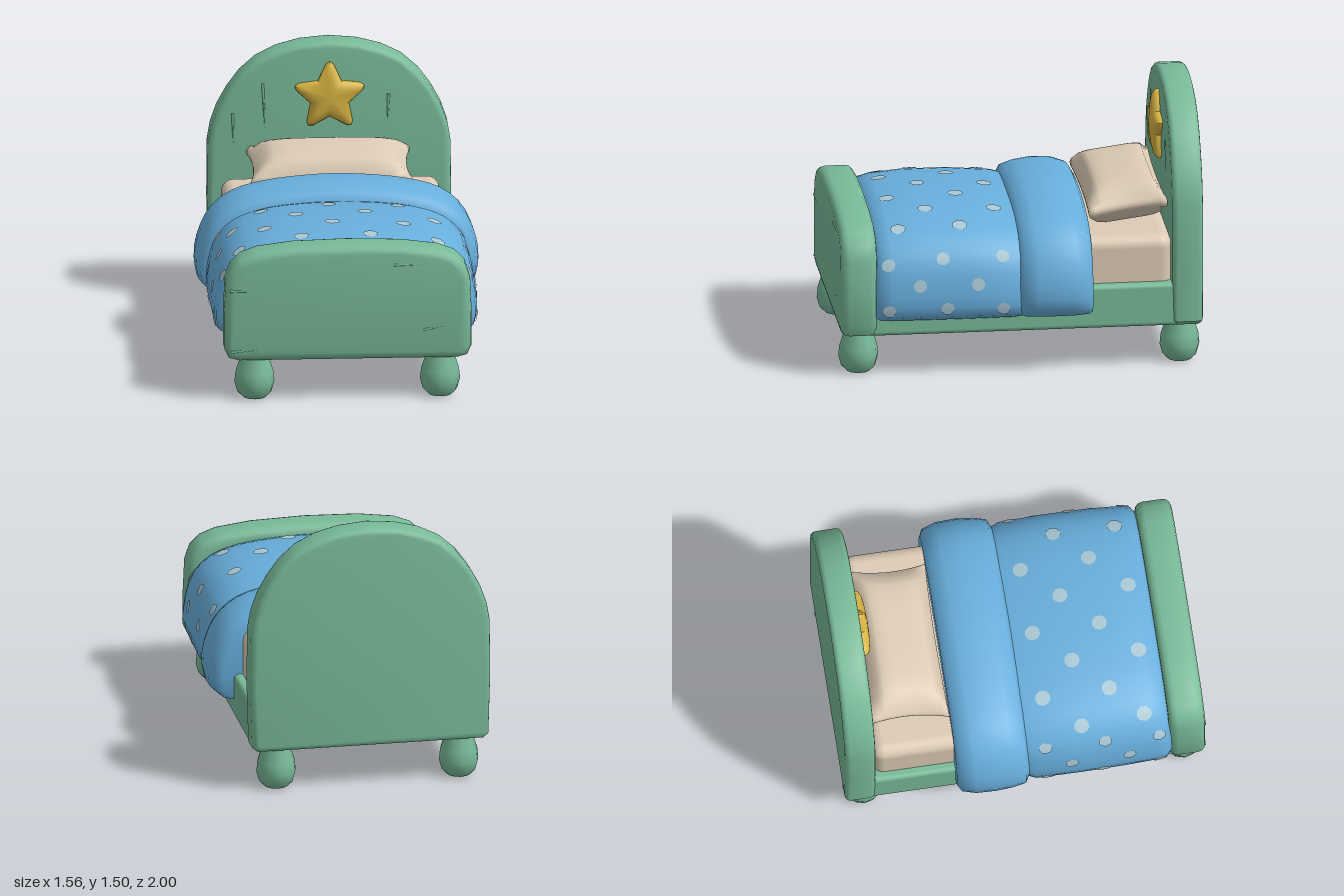
import * as THREE from 'three';
import { mergeVertices, toCreasedNormals } from 'three/addons/utils/BufferGeometryUtils.js';
import { RoundedBoxGeometry } from 'three/addons/geometries/RoundedBoxGeometry.js';

const material = (name, color, side = THREE.FrontSide) => {
  const m = new THREE.MeshStandardMaterial({ color, side });
  m.name = name;
  return m;
};

// Full symmetric outline from its right half, running from the bottom to the top centre
const mirrored = (half) => [...half, ...half.slice(0, -1).reverse().map(([x, y]) => [-x, y])];

// Skin between rings of [x, y, z] points (counterclockwise from +z), with capped ends
function loft(rings, cy, crease = 0.9) {
  const n = rings[0].length, pos = rings.flat(2), index = [];
  for (let i = 0; i < rings.length - 1; i++) {
    for (let j = 0; j < n; j++) {
      const a = i * n + j, b = i * n + (j + 1) % n;
      index.push(a, b, b + n, a, b + n, a + n);
    }
  }
  const last = (rings.length - 1) * n, c0 = rings.length * n;
  pos.push(0, cy, rings[0][0][2], 0, cy, rings[rings.length - 1][0][2]);
  for (let j = 0; j < n; j++) {
    const k = (j + 1) % n;
    index.push(c0, k, j, c0 + 1, last + j, last + k);
  }
  const g = new THREE.BufferGeometry();
  g.setAttribute('position', new THREE.Float32BufferAttribute(pos, 3));
  g.setIndex(index);
  return toCreasedNormals(g, crease);
}

// Board with a soft rim, from an outline half, between two z positions
function board(half, z0, z1, bevel) {
  const shape = new THREE.Shape(mirrored(half).map(([x, y]) => new THREE.Vector2(x, y)));
  const g = new THREE.ExtrudeGeometry(shape, {
    depth: z1 - z0 - 2 * bevel, bevelThickness: bevel, bevelSize: bevel, bevelOffset: -bevel, bevelSegments: 3,
  });
  g.translate(0, 0, z0 + bevel);
  return toCreasedNormals(g, 0.7);
}

// Draped cloth: an arched profile scaled along z by stations of [z, width, height]
function drape(half, stations) {
  const curve = new THREE.CatmullRomCurve3(mirrored(half).map(([x, y]) => new THREE.Vector3(x, y, 0)));
  const base = 0.33;
  const at = (u, z) => {
    let i = 0;
    while (i < stations.length - 2 && z > stations[i + 1][0]) i++;
    const [a, b] = [stations[i], stations[i + 1]];
    const t = THREE.MathUtils.clamp((z - a[0]) / (b[0] - a[0]), 0, 1);
    const p = curve.getPointAt(THREE.MathUtils.clamp(u, 0, 1));
    p.x *= a[1] + (b[1] - a[1]) * t;
    p.y = base + (p.y - base) * (a[2] + (b[2] - a[2]) * t);
    p.z = z;
    return p;
  };
  const rings = stations.map(([z]) => Array.from({ length: 41 }, (_, j) => at(j / 40, z).toArray()));
  return { at, length: curve.getLength(), geometry: loft(rings, 0.5) };
}

// Round patch that follows a drape, centred at (u, z)
function patch(cloth, u, z, r) {
  const n = 9, pos = [], index = [];
  const put = (du, dz) => {
    const uu = u + du / cloth.length, zz = z + dz, e = 0.004;
    const p = cloth.at(uu, zz);
    const along = cloth.at(uu + e, zz).sub(cloth.at(uu - e, zz));
    const normal = along.cross(cloth.at(uu, zz + e).sub(cloth.at(uu, zz - e))).normalize();
    pos.push(...p.addScaledVector(normal, 0.006).toArray());
  };
  put(0, 0);
  for (const s of [0.5, 1]) {
    for (let j = 0; j < n; j++) {
      const a = (j / n) * Math.PI * 2;
      put(Math.cos(a) * r * s, Math.sin(a) * r * s);
    }
  }
  for (let j = 0; j < n; j++) {
    const a = 1 + j, b = 1 + (j + 1) % n;
    index.push(0, a, b, a, a + n, b + n, a, b + n, b);
  }
  const g = new THREE.BufferGeometry();
  g.setAttribute('position', new THREE.Float32BufferAttribute(pos, 3));
  g.setIndex(index);
  g.computeVertexNormals();
  return g;
}

// Parameter in [lo, hi] where a falling function reaches zero
function solve(f, lo, hi) {
  for (let i = 0; i < 24; i++) {
    const m = (lo + hi) / 2;
    if (f(m) > 0) lo = m; else hi = m;
  }
  return (lo + hi) / 2;
}

export function createModel() {
  const green = material('green wood', 0x78ba98);
  const blue = material('blue blanket', 0x68afdd);
  const pale = material('pale dots', 0xa9c8d4, THREE.DoubleSide);
  const cream = material('cream linen', 0xdccbb5);
  const gold = material('gold star', 0xd8b442);
  const model = new THREE.Group();
  model.name = 'bed';
  const add = (name, geometry, mat, x = 0, y = 0, z = 0, parent = model) => {
    const mesh = new THREE.Mesh(geometry, mat);
    mesh.name = name;
    mesh.position.set(x, y, z);
    parent.add(mesh);
    return mesh;
  };

  // Head and foot boards
  add('headboard', board([[0.63, 0.235], [0.66, 0.26], [0.67, 0.6], [0.667, 0.92], [0.65, 1.02], [0.615, 1.12],
    [0.56, 1.22], [0.49, 1.315], [0.4, 1.395], [0.29, 1.45], [0.16, 1.485], [0, 1.5]], -1, -0.83, 0.03), green);
  add('footboard', board([[0.6, 0.23], [0.655, 0.245], [0.68, 0.3], [0.68, 0.5], [0.672, 0.68], [0.645, 0.76],
    [0.59, 0.815], [0.5, 0.85], [0.3, 0.876], [0, 0.885]], 0.8, 1, 0.045), green);

  // Slim raised grain marks: [x, y, z, length, tilt]
  const marks = [[-0.5, 0.635, 0.995, 0.3, 1.55], [-0.5, 0.3, 0.995, 0.28, 1.65], [0.39, 0.775, 0.995, 0.28, 1.58],
    [0.52, 0.42, 0.995, 0.22, 1.75], [-0.36, 1.12, -0.833, 0.3, 0.05], [0.32, 1.1, -0.833, 0.2, -0.05],
    [-0.53, 1.0, -0.833, 0.2, 0.03]];
  for (const [x, y, z, len, tilt] of marks) {
    add('grainMark', new THREE.CylinderGeometry(0.009, 0.003, len, 6), green, x, y, z).rotation.z = tilt;
  }

  // Base frame and legs
  add('frame', new RoundedBoxGeometry(1.3, 0.245, 1.72, 3, 0.025), green, 0, 0.3575, -0.01);
  const leg = new THREE.LatheGeometry([[0, 0], [0.065, 0.004], [0.095, 0.035], [0.11, 0.09], [0.104, 0.15],
    [0.085, 0.21], [0.08, 0.26]].map(([x, y]) => new THREE.Vector2(x, y)), 12);
  for (const x of [-0.51, 0.51]) for (const z of [-0.885, 0.89]) add('leg', leg, green, x, 0, z);

  // Mattress
  add('mattress', new RoundedBoxGeometry(1.2, 0.34, 1.64, 4, 0.07), cream, 0, 0.57, -0.02);

  // Pillow: a box swollen in the middle and pinched between its corners
  let pillow = new THREE.BoxGeometry(2, 2, 2, 18, 6, 12);
  const p = pillow.attributes.position;
  for (let i = 0; i < p.count; i++) {
    const u = p.getX(i), w = p.getY(i), v = p.getZ(i);
    const h = 0.035 + 0.088 * Math.pow((1 - u ** 4) * (1 - v ** 4), 0.45);
    const round = 1 - 0.05 * w * w;
    p.setXYZ(i, 0.45 * u * round * (1 - 0.06 * (1 - v * v)), w * h, 0.22 * v * round * (1 - 0.05 * (1 - u * u)));
  }
  pillow.deleteAttribute('normal');
  pillow.deleteAttribute('uv');
  pillow = mergeVertices(pillow);
  pillow.computeVertexNormals();
  add('pillow', pillow, cream, -0.01, 0.855, -0.61).rotation.x = 0.13;

  // Blanket and its turned-back fold
  const blanket = drape([[0.62, 0.35], [0.7, 0.33], [0.732, 0.41], [0.725, 0.53], [0.68, 0.68], [0.58, 0.785],
    [0.42, 0.845], [0.2, 0.873], [0, 0.88]],
  [[-0.02, 0.95, 0.92], [0.05, 0.995, 0.95], [0.3, 1, 0.99], [0.55, 0.995, 0.99], [0.72, 0.985, 0.96],
    [0.78, 0.97, 0.93], [0.81, 0.92, 0.86]]);
  add('blanket', blanket.geometry, blue);
  const fold = drape([[0.6, 0.36], [0.69, 0.33], [0.76, 0.37], [0.782, 0.47], [0.76, 0.6], [0.69, 0.74],
    [0.57, 0.835], [0.38, 0.888], [0.18, 0.912], [0, 0.92]],
  [[-0.387, 0.91, 0.88], [-0.365, 0.965, 0.945], [-0.29, 0.995, 0.99], [-0.18, 1, 1], [-0.08, 0.99, 0.975],
    [-0.01, 0.97, 0.935], [0.015, 0.91, 0.87]]);
  add('blanketFold', fold.geometry, blue);

  // Blanket dots: on top placed by [x, z], on both sides by [z, y]
  const dots = new THREE.Group();
  dots.name = 'blanketDots';
  model.add(dots);
  const top = [[-0.43, 0.13], [-0.06, 0.13], [0.32, 0.12], [-0.25, 0.32], [0.13, 0.31], [0.51, 0.33], [-0.43, 0.5],
    [-0.06, 0.5], [0.33, 0.5], [-0.24, 0.69], [0.14, 0.69], [0.51, 0.67], [-0.58, 0.67], [-0.6, 0.32]];
  for (const [x, z] of top) {
    add('dot', patch(blanket, solve((u) => blanket.at(u, z).x - x, 0.15, 0.85), z, 0.043), pale, 0, 0, 0, dots);
  }
  const sides = [[0.74, 0.65], [0.44, 0.68], [0.11, 0.68], [0.57, 0.54], [0.25, 0.54], [0.42, 0.41], [0.11, 0.4],
    [0.74, 0.4]];
  for (const [z, y] of sides) {
    const u = solve((t) => y - blanket.at(t, z).y, 0.06, 0.5);
    for (const s of [u, 1 - u]) add('dot', patch(blanket, s, z, 0.037), pale, 0, 0, 0, dots);
  }

  // Puffy star with blunted tips
  const star = [];
  for (let i = 0; i < 5; i++) {
    const a = Math.PI / 2 + (i * Math.PI * 2) / 5;
    for (const [da, r] of [[-0.11, 0.188], [0, 0.202], [0.11, 0.188], [Math.PI / 5, 0.112]]) {
      star.push([Math.cos(a + da) * r, Math.sin(a + da) * r]);
    }
  }
  const starRings = [[-0.02, 0.97], [0.012, 1], [0.028, 0.95], [0.042, 0.82], [0.051, 0.55], [0.055, 0.2]]
    .map(([z, s]) => star.map(([x, y]) => [x * s, y * s, z]));
  add('star', loft(starRings, 0, 0.8), gold, 0, 1.192, -0.83);

  return model;
}
